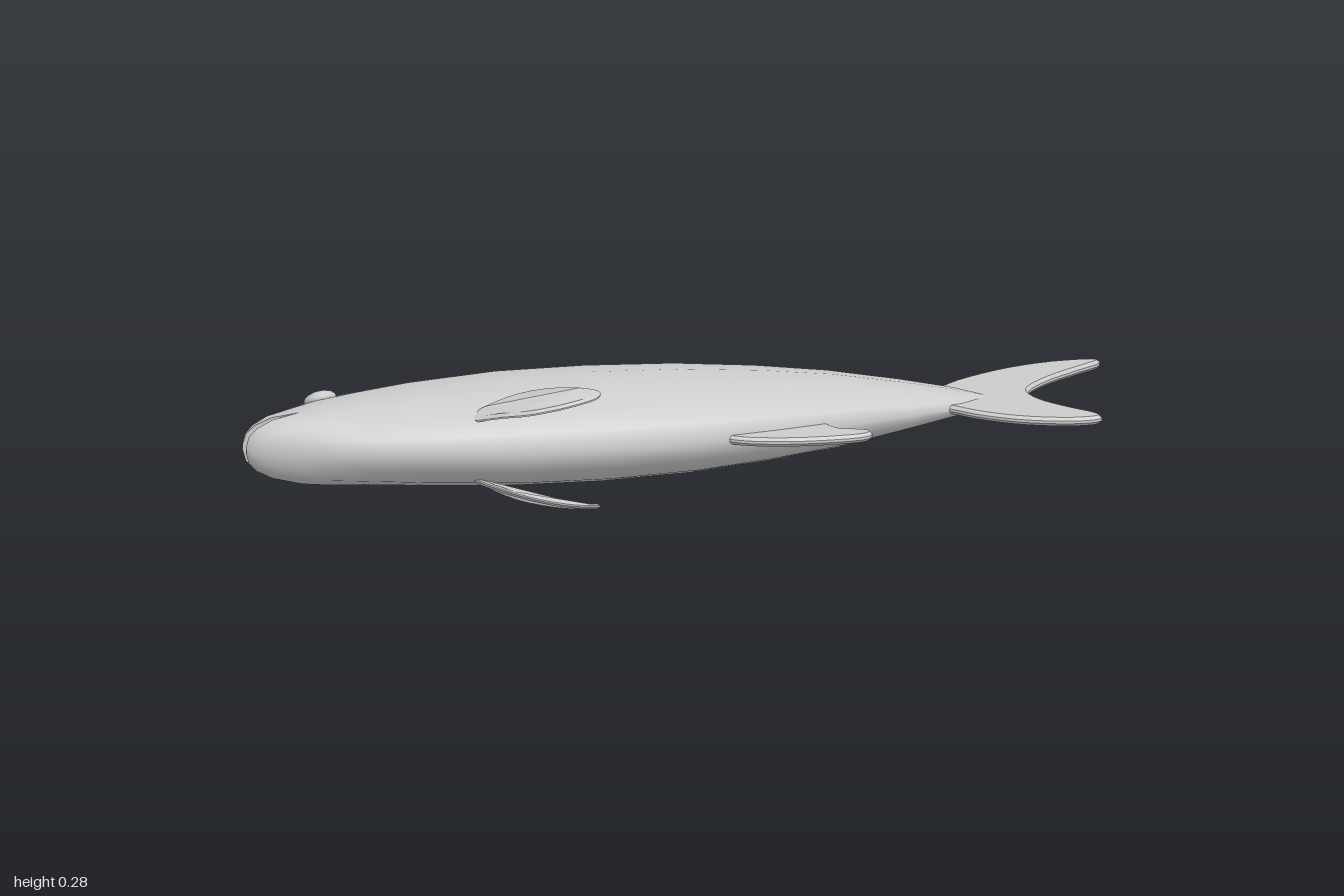
import * as THREE from 'three';
import { mergeVertices, toCreasedNormals } from 'three/addons/utils/BufferGeometryUtils.js';

const material = new THREE.MeshStandardMaterial({ color: 0xcccccc, side: THREE.DoubleSide });

// Body stations: x, back z, upper lip z, lower lip z, belly z, half width
const stations = [
  [-1.0, 0.062, 0.067, 0.1, 0.106, 0.005],
  [-0.993, 0.045, 0.069, 0.098, 0.118, 0.03],
  [-0.975, 0.022, 0.074, 0.099, 0.133, 0.049],
  [-0.94, -0.012, 0.083, 0.1, 0.152, 0.067],
  [-0.88, -0.063, 0.102, 0.102, 0.176, 0.081],
  [-0.82, -0.104, 0.088, 0.088, 0.196, 0.088],
  [-0.73, -0.143, 0.07, 0.07, 0.22, 0.094],
  [-0.6, -0.177, 0.053, 0.053, 0.25, 0.104],
  [-0.4, -0.198, 0.043, 0.043, 0.28, 0.115],
  [-0.2, -0.192, 0.045, 0.045, 0.285, 0.117],
  [0, -0.174, 0.046, 0.046, 0.268, 0.111],
  [0.18, -0.145, 0.046, 0.046, 0.234, 0.097],
  [0.34, -0.105, 0.048, 0.048, 0.194, 0.079],
  [0.5, -0.064, 0.049, 0.049, 0.146, 0.051],
  [0.62, -0.022, 0.05, 0.05, 0.11, 0.027],
  [0.71, 0.048, 0.05, 0.05, 0.056, 0.004],
];
const MOUTH = 4; // station at the corner of the mouth
const HALF = 8; // segments in each half of a ring

function bodyGeometry() {
  const pos = [], index = [];
  const n = 2 * (HALF + 1);
  for (const [x, top, up, low, bottom, w] of stations) {
    for (let k = 0; k <= HALF; k++) {
      const a = (k / HALF) * Math.PI;
      pos.push(x, w * Math.cos(a), up + (top - up) * Math.sin(a));
    }
    for (let k = 0; k <= HALF; k++) {
      const a = (k / HALF) * Math.PI;
      pos.push(x, -w * Math.cos(a), low + (bottom - low) * Math.sin(a));
    }
  }
  for (let i = 0; i < stations.length - 1; i++) {
    for (let j = 0; j < n; j++) {
      if (j % (HALF + 1) === HALF) continue; // lips stay apart
      const a = i * n + j, b = a + 1, c = a + n, d = c + 1;
      index.push(a, c, b, b, c, d);
    }
  }
  const geo = new THREE.BufferGeometry();
  geo.setAttribute('position', new THREE.Float32BufferAttribute(pos, 3));
  geo.setIndex(index);
  const merged = mergeVertices(geo, 1e-4);
  merged.computeVertexNormals();
  return merged;
}

// Flat strip closing one jaw inside the mouth
function jawLining(column) {
  const pos = [], index = [];
  for (let i = 0; i <= MOUTH; i++) {
    const s = stations[i];
    pos.push(s[0], s[5], s[column], s[0], -s[5], s[column]);
    if (i) index.push(2 * i - 2, 2 * i - 1, 2 * i, 2 * i, 2 * i - 1, 2 * i + 1);
  }
  const geo = new THREE.BufferGeometry();
  geo.setAttribute('position', new THREE.Float32BufferAttribute(pos, 3));
  geo.setIndex(index);
  geo.computeVertexNormals();
  return geo;
}

// Thin bevelled fin from an outline in x, z
function finGeometry(points, thickness, bend) {
  const pts = points.map(([x, z]) => new THREE.Vector2(x, z));
  const outline = new THREE.SplineCurve(pts).getPoints(points.length * 3);
  const bevel = thickness * 0.35;
  const geo = new THREE.ExtrudeGeometry(new THREE.Shape(outline), {
    depth: thickness - 2 * bevel, bevelThickness: bevel, bevelSize: 0.007,
    bevelOffset: -0.007, bevelSegments: 1,
  });
  geo.translate(0, 0, -thickness / 2 + bevel);
  geo.rotateX(Math.PI / 2);
  if (bend) {
    const p = geo.attributes.position;
    for (let i = 0; i < p.count; i++) p.setY(i, p.getY(i) + bend(p.getX(i), p.getZ(i)));
  }
  return toCreasedNormals(geo, 0.6);
}

const dorsal = [[-0.4, -0.17], [-0.385, -0.195], [-0.33, -0.243], [-0.24, -0.29], [-0.12, -0.318],
  [-0.035, -0.322], [-0.011, -0.303], [-0.02, -0.265], [-0.035, -0.22], [-0.03, -0.16]];
const anal = [[0.04, 0.22], [0.06, 0.258], [0.11, 0.288], [0.2, 0.31], [0.3, 0.314], [0.36, 0.304],
  [0.376, 0.275], [0.35, 0.255], [0.31, 0.238], [0.29, 0.18]];
const tail = [[0.55, 0.0], [0.59, -0.035], [0.66, -0.1], [0.77, -0.165], [0.88, -0.2], [0.98, -0.203],
  [0.998, -0.18], [0.94, -0.135], [0.86, -0.07], [0.8, 0.0], [0.788, 0.05], [0.805, 0.115],
  [0.85, 0.185], [0.895, 0.245], [0.89, 0.278], [0.82, 0.28], [0.72, 0.242], [0.64, 0.18],
  [0.59, 0.12], [0.55, 0.09]];
const pectoral = [[-0.52, 0.182], [-0.49, 0.175], [-0.42, 0.192], [-0.33, 0.22], [-0.255, 0.25],
  [-0.237, 0.27], [-0.26, 0.295], [-0.33, 0.306], [-0.4, 0.29], [-0.46, 0.25], [-0.51, 0.21], [-0.52, 0.182]];

// Paired fins curve away from the flank toward their tips
const pectoralBend = (x, z) =>
  0.148 - 0.085 * ((x + 0.235) / 0.285) ** 2 - 0.28 * Math.max(0, z - 0.2);

export function createModel() {
  const model = new THREE.Group();
  const fish = new THREE.Group();
  fish.name = 'fish';
  fish.position.y = 0.154;
  model.add(fish);

  const add = (name, geometry) => {
    const mesh = new THREE.Mesh(geometry, material);
    mesh.name = name;
    fish.add(mesh);
    return mesh;
  };

  add('body', bodyGeometry());
  add('upperMouthLining', jawLining(2));
  add('lowerMouthLining', jawLining(3));
  add('dorsalFin', finGeometry(dorsal, 0.02));
  add('analFin', finGeometry(anal, 0.02));
  add('tailFin', finGeometry(tail, 0.02));

  const pectoralGeo = finGeometry(pectoral, 0.012, pectoralBend);
  const eyeGeo = new THREE.SphereGeometry(0.037, 20, 12);
  for (const side of [1, -1]) {
    const label = side > 0 ? 'upper' : 'lower';
    // Paired fin on each flank
    add(label + 'PectoralFin', pectoralGeo).scale.y = side;
    // Flattened eye lying on the cheek
    const eye = add(label + 'Eye', eyeGeo);
    eye.position.set(-0.8, side * 0.069, -0.038);
    eye.scale.y = 0.5;
    eye.rotation.set(-side * 0.45, 0, side * 0.15);
  }
  return model;
}
